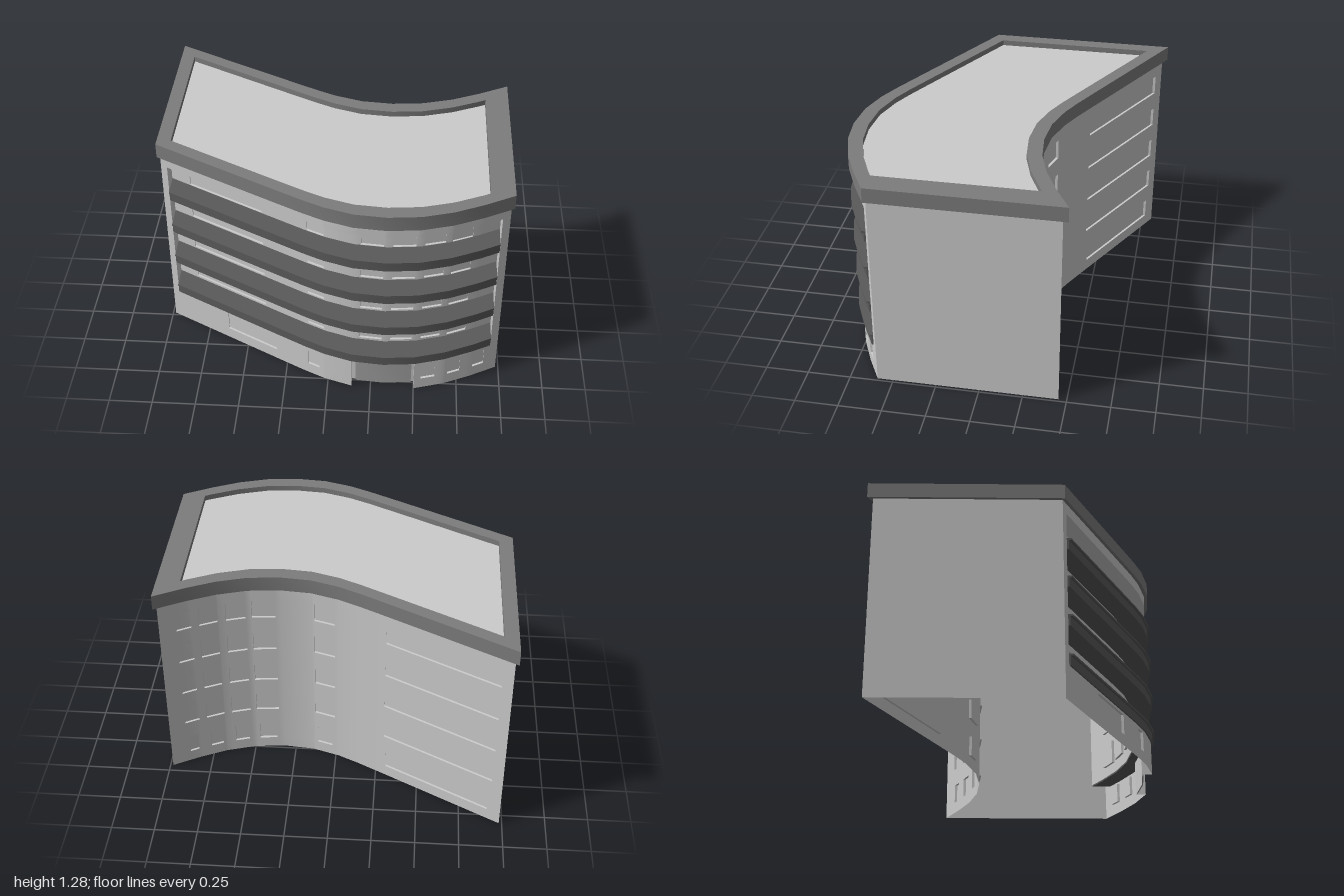
import * as THREE from 'three';
import { toCreasedNormals } from 'three/addons/utils/BufferGeometryUtils.js';

// Plan curve of the eaves along the front; the back repeats it DEPTH further behind
const CURVE = [[-1, 0.245], [-0.28, 0.635], [-0.14, 0.71], [-0.02, 0.768], [0.14, 0.82], [0.32, 0.837],
  [0.5, 0.82], [0.67, 0.77], [0.83, 0.697], [1, 0.605]];
const DEPTH = 1.09;
const INSET = 0.022; // walls sit this far behind the eaves
const END = 0.983; // x of the side walls
const WALL_TOP = 1.2;
const STOREY = 0.2335;

function curveZ(x) {
  let i = 0;
  while (i < CURVE.length - 2 && x > CURVE[i + 1][0]) i++;
  const [x0, z0] = CURVE[i], [x1, z1] = CURVE[i + 1];
  return z0 + (z1 - z0) * (x - x0) / (x1 - x0);
}

const material = (color) => new THREE.MeshStandardMaterial({ color, side: THREE.DoubleSide });
const wallMat = material(0xcccccc);
const roofMat = material(0x7c7c7c);
const balconyMat = material(0x5a5a5a);
const doorMat = material(0xa0a0a0);

function addMesh(group, name, geometry, mat) {
  const mesh = new THREE.Mesh(toCreasedNormals(geometry, 0.4), mat);
  mesh.name = name;
  group.add(mesh);
  return mesh;
}

// Curved plan outline between x0 and x1, from zOffset "front" to zOffset "back"
function outline(x0, x1, front, back) {
  const xs = [x0, ...CURVE.map((p) => p[0]).filter((x) => x > x0 && x < x1), x1];
  return [
    ...xs.map((x) => new THREE.Vector2(x, -(curveZ(x) + front))),
    ...xs.reverse().map((x) => new THREE.Vector2(x, -(curveZ(x) + back))),
  ];
}

// Upright prism over a curved outline
function prism(points, y0, y1, hole) {
  const shape = new THREE.Shape(points);
  if (hole) shape.holes.push(new THREE.Path(hole));
  const geometry = new THREE.ExtrudeGeometry(shape, { depth: y1 - y0, bevelEnabled: false });
  return geometry.rotateX(-Math.PI / 2).translate(0, y0, 0);
}

// Curved wall with stepped recesses; each recess is [x0, x1, y0, y1, depth], later ones win.
// side is 1 for the front and -1 for the back.
function recessedWall(side, recesses) {
  const sorted = (list) => [...new Set(list)].sort((a, b) => a - b);
  const xs = sorted([-END, END, ...CURVE.slice(1, -1).map((p) => p[0]), ...recesses.flatMap((r) => [r[0], r[1]])]);
  const ys = sorted([0, WALL_TOP, ...recesses.flatMap((r) => [r[2], r[3]])]);
  const base = (x) => curveZ(x) + (side > 0 ? -INSET : INSET - DEPTH);
  const depthAt = (i, j) => {
    const x = (xs[i] + xs[i + 1]) / 2, y = (ys[j] + ys[j + 1]) / 2;
    let depth = 0;
    for (const r of recesses) if (x > r[0] && x < r[1] && y > r[2] && y < r[3]) depth = r[4];
    return depth;
  };
  const positions = [];
  const quad = (...corners) => {
    const p = corners.map(([x, y, d]) => [x, y, base(x) - side * d]);
    const order = side > 0 ? [0, 1, 2, 0, 2, 3] : [0, 2, 1, 0, 3, 2];
    for (const k of order) positions.push(...p[k]);
  };
  for (let i = 0; i < xs.length - 1; i++) {
    for (let j = 0; j < ys.length - 1; j++) {
      const x0 = xs[i], x1 = xs[i + 1], y0 = ys[j], y1 = ys[j + 1], d = depthAt(i, j);
      quad([x0, y0, d], [x1, y0, d], [x1, y1, d], [x0, y1, d]);
      // reveals towards the next cell across and the next cell up
      if (i < xs.length - 2) {
        const e = depthAt(i + 1, j);
        if (e !== d) quad([x1, y0, d], [x1, y0, e], [x1, y1, e], [x1, y1, d]);
      }
      if (j < ys.length - 2) {
        const e = depthAt(i, j + 1);
        if (e !== d) quad([x0, y1, d], [x1, y1, d], [x1, y1, e], [x0, y1, e]);
      }
    }
  }
  const geometry = new THREE.BufferGeometry();
  geometry.setAttribute('position', new THREE.Float32BufferAttribute(positions, 3));
  geometry.computeVertexNormals();
  return geometry;
}

export function createModel() {
  const model = new THREE.Group();
  model.name = 'curvedBuilding';
  const REVEAL = 0.015, LOGGIA = 0.115, ENTRANCE = 0.06;

  // Front wall: loggia, entrance, ground floor windows, then windows and a door per storey
  const front = [[-0.945, 0.94, 0.215, 1.13, LOGGIA], [0.14, 0.5, 0, 0.205, ENTRANCE]];
  for (const [a, b] of [[-0.62, -0.315], [-0.12, -0.05], [0.54, 0.62], [0.695, 0.765], [0.84, 0.905]]) {
    front.push([a, b, 0.07, 0.19, REVEAL]);
  }
  for (let floor = 0; floor < 4; floor++) {
    const y = 0.28 + floor * STOREY * 0.985;
    for (const [a, b] of [[-0.83, -0.39], [-0.125, -0.03], [0.18, 0.305], [0.355, 0.48], [0.53, 0.64]]) {
      front.push([a, b, y + 0.005, y + 0.122, LOGGIA + REVEAL]);
    }
    front.push([0.68, 0.79, y, y + 0.15, LOGGIA + REVEAL]);
  }
  addMesh(model, 'frontWall', recessedWall(1, front), wallMat);

  // Back wall: five rows of windows, slightly narrower on the ground floor
  const back = [];
  for (let floor = 0; floor < 5; floor++) {
    const y = 0.07 + floor * 0.23, trim = floor ? 0 : 0.015;
    for (const [a, b] of [[-0.925, -0.295], [0.005, 0.125], [0.35, 0.485], [0.52, 0.63], [0.675, 0.775], [0.815, 0.895]]) {
      back.push([a + trim, b - trim, y, y + 0.118, REVEAL]);
    }
  }
  addMesh(model, 'backWall', recessedWall(-1, back), wallMat);

  // Plain side walls
  for (const s of [1, -1]) {
    const wall = new THREE.PlaneGeometry(DEPTH - 2 * INSET, WALL_TOP).rotateY(s * Math.PI / 2);
    wall.translate(s * END, WALL_TOP / 2, curveZ(s * END) - DEPTH / 2);
    addMesh(model, s > 0 ? 'leftWall' : 'rightWall', wall, wallMat);
  }

  // Entrance door inside its recess
  const doorZ = -INSET - ENTRANCE;
  addMesh(model, 'entranceDoor', prism(outline(0.16, 0.485, doorZ + 0.008, doorZ + 0.001), 0, 0.175), doorMat);

  // Balcony slabs, each with a thin projecting lip
  for (let floor = 0; floor < 4; floor++) {
    const y = 0.206 + floor * STOREY;
    const balcony = new THREE.Group();
    balcony.name = 'balcony' + (floor + 1);
    addMesh(balcony, 'slab', prism(outline(-0.943, 0.938, -0.012, -0.135), y, y + 0.056), balconyMat);
    addMesh(balcony, 'lip', prism(outline(-0.943, 0.938, 0.002, -0.135), y + 0.056, y + 0.068), balconyMat);
    model.add(balcony);
  }

  // Roof parapet ring and the sunken deck inside it
  const inner = () => outline(-0.92, 0.865, -0.086, 0.086 - DEPTH);
  addMesh(model, 'parapet', prism(outline(-1, 1, 0, -DEPTH), 1.195, 1.283, inner()), roofMat);
  addMesh(model, 'roofDeck', prism(inner(), 1.196, 1.25), wallMat);
  return model;
}
